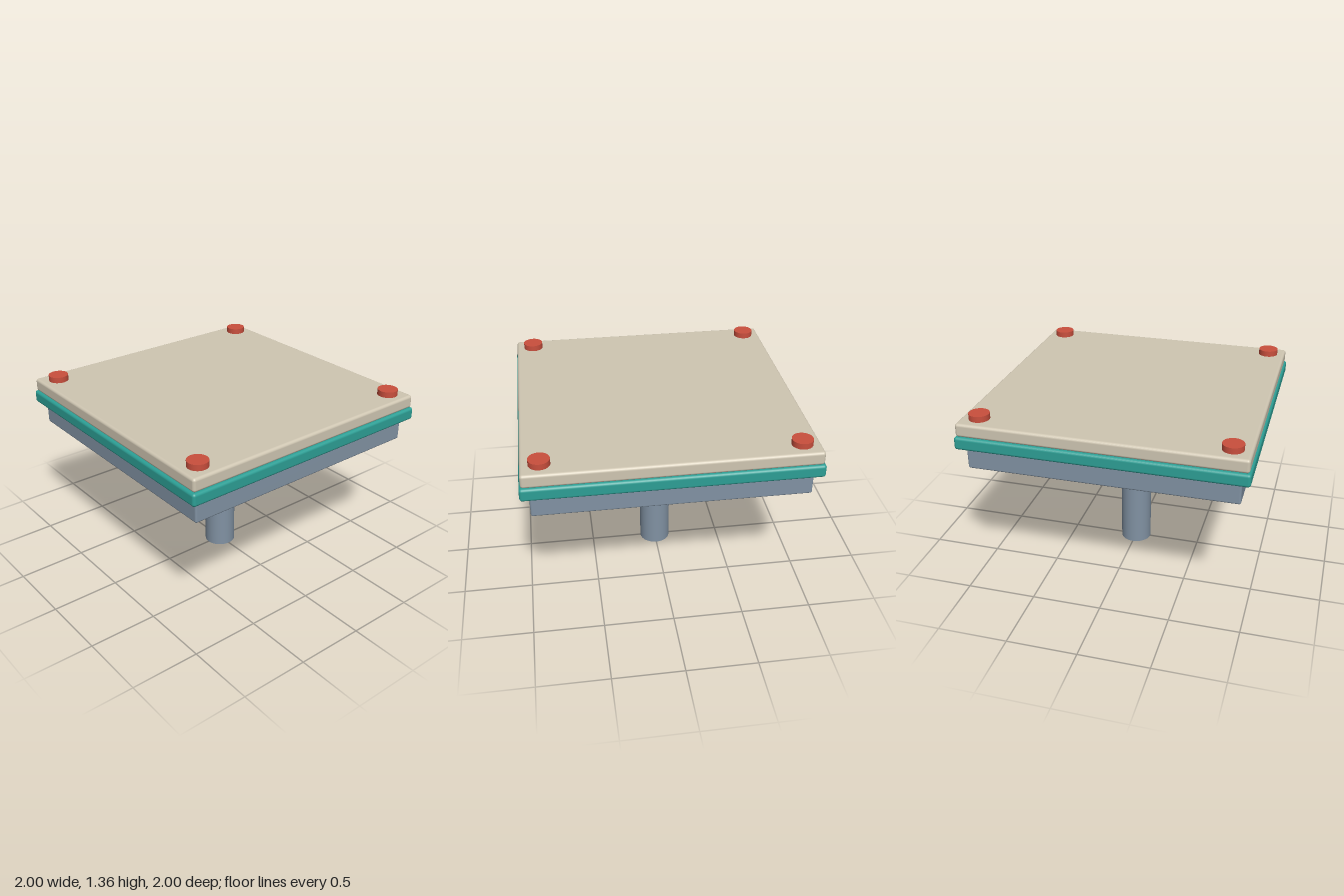
import * as THREE from 'three';
import { RoundedBoxGeometry } from 'three/addons/geometries/RoundedBoxGeometry.js';

const material = (color) => new THREE.MeshStandardMaterial({ color });

export function createModel() {
  const model = new THREE.Group();
  model.name = 'heatedBuildPlate';

  const steel = material(0x8192a3);
  const darkSteel = material(0x566270);
  const teal = material(0x2d9f95);
  const tan = material(0xcfc6b2);
  const red = material(0xc94f3d);

  const add = (name, geometry, mat, x, y, z) => {
    const mesh = new THREE.Mesh(geometry, mat);
    mesh.name = name;
    mesh.position.set(x, y, z);
    model.add(mesh);
  };

  // Square slab with softened edges, spanning bottom to top
  const slab = (name, width, bottom, top, radius, mat) =>
    add(name, new RoundedBoxGeometry(width, top - bottom, width, 4, radius), mat, 0, (bottom + top) / 2, 0);

  // Upright cylinder spanning bottom to top
  const disc = (name, radius, bottom, top, mat, x = 0, z = 0) =>
    add(name, new THREE.CylinderGeometry(radius, radius, top - bottom, 48), mat, x, (bottom + top) / 2, z);

  // Support post and its collar
  disc('post', 0.115, 0, 0.91, steel);
  disc('collar', 0.197, 0.902, 0.975, darkSteel);

  // Stacked plates
  slab('basePlate', 1.88, 0.967, 1.13, 0.014, steel);
  slab('middlePlate', 2, 1.13, 1.222, 0.02, teal);
  slab('topPlate', 1.976, 1.222, 1.318, 0.02, tan);

  // Corner buttons
  for (const x of [-0.86, 0.86])
    for (const z of [-0.86, 0.86])
      disc('cornerButton', 0.072, 1.3, 1.36, red, x, z);

  return model;
}
